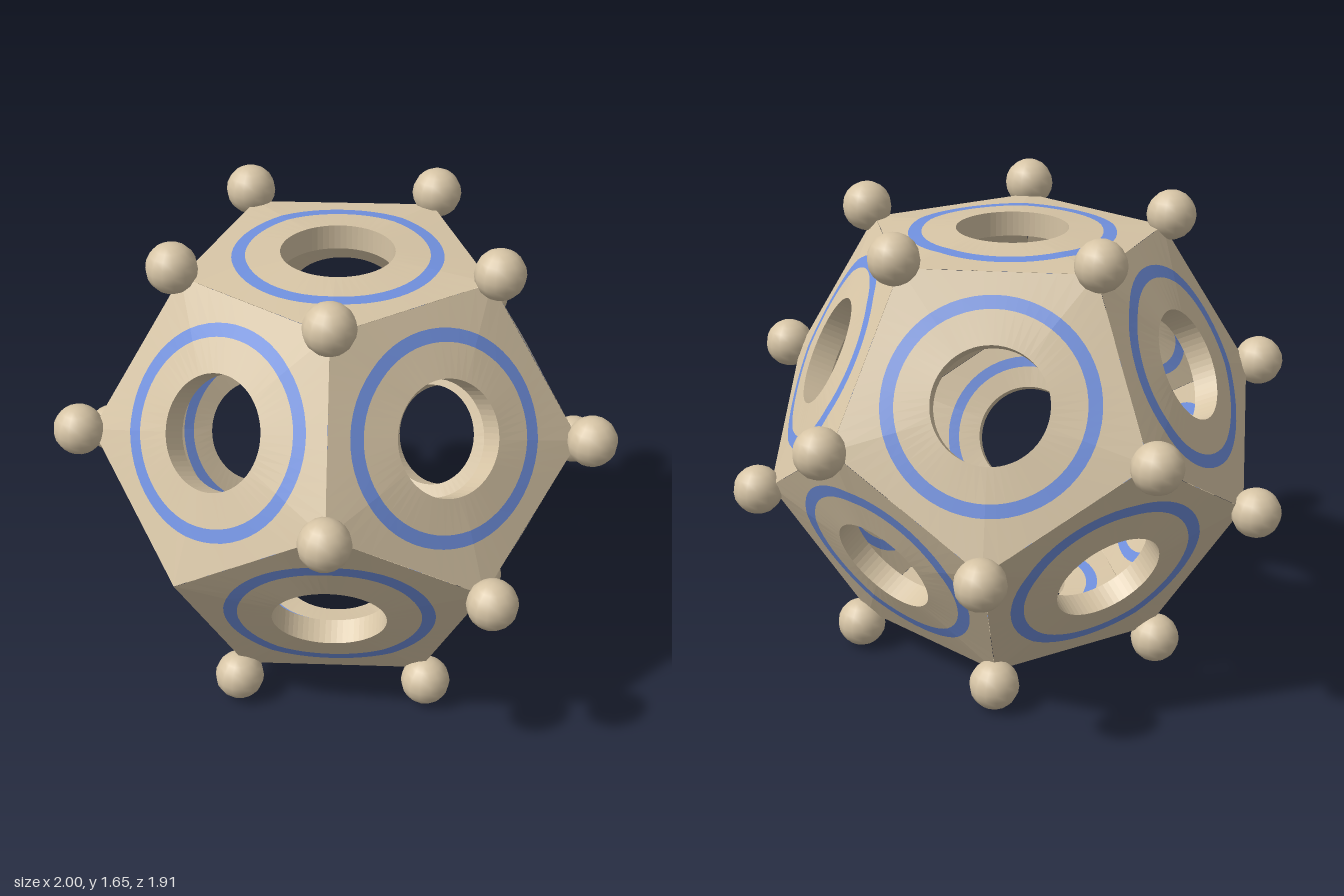
import * as THREE from 'three';

const CENTER_Y = 0.832;
const EDGE_DIST = 0.703;   // centre to pentagon plane
const RIM_DIST = 0.728;    // centre to raised hole rim
const APOTHEM = 0.434;     // pentagon inradius
const HOLE = 0.194;
const RING_IN = 0.312, RING_OUT = 0.358;
const INNER = 0.88;        // scale of the inside shell
const SEG = 60;
const TURN = THREE.MathUtils.degToRad(37.9);

// Unit direction from azimuth and height
function dir(azimuth, y) {
  const h = Math.sqrt(1 - y * y);
  return new THREE.Vector3(h * Math.cos(azimuth), y, h * Math.sin(azimuth));
}

// Distance from the face centre to the pentagon edge (one corner at angle 0)
function edgeRadius(a) {
  const step = Math.PI * 2 / 5;
  const local = ((a % step) + step) % step - step / 2;
  return APOTHEM / Math.cos(local);
}

// Loop of points around a face, on the slightly domed surface
function loop(radius, scale = 1) {
  const points = [];
  for (let i = 0; i <= SEG; i++) {
    const a = (i % SEG) / SEG * Math.PI * 2;
    const edge = edgeRadius(a) * scale;
    const r = radius === 'edge' ? edge : radius;
    const t = (r - HOLE) / (edge - HOLE);
    const z = THREE.MathUtils.lerp(RIM_DIST, EDGE_DIST, t) * scale;
    points.push(new THREE.Vector3(r * Math.cos(a), r * Math.sin(a), z));
  }
  return points;
}

// Strip of triangles joining two loops
function band(a, b) {
  const pos = [];
  for (let i = 0; i < SEG; i++) {
    for (const p of [a[i], b[i], b[i + 1], a[i], b[i + 1], a[i + 1]]) pos.push(p.x, p.y, p.z);
  }
  const g = new THREE.BufferGeometry();
  g.setAttribute('position', new THREE.Float32BufferAttribute(pos, 3));
  g.computeVertexNormals();
  return g;
}

export function createModel() {
  const model = new THREE.Group();
  model.name = 'knobbedDodecahedron';
  const stone = new THREE.MeshStandardMaterial({ color: 0xd6c4a5 });
  stone.name = 'beige stone';
  const blue = new THREE.MeshStandardMaterial({ color: 0x7090de });
  blue.name = 'blue paint';

  // Loops for the outside and inside of one face
  const out = [HOLE, RING_IN, RING_OUT, 'edge'].map(r => loop(r));
  const ins = [HOLE, RING_IN * INNER, RING_OUT * INNER, 'edge'].map(r => loop(r, INNER));
  const parts = [
    ['holeWall', band(ins[0], out[0]), stone],
    ['outerCollar', band(out[0], out[1]), stone],
    ['outerRing', band(out[1], out[2]), blue],
    ['outerBorder', band(out[2], out[3]), stone],
    ['innerCollar', band(ins[1], ins[0]), stone],
    ['innerRing', band(ins[2], ins[1]), blue],
    ['innerBorder', band(ins[3], ins[2]), stone],
  ];

  // Place one face given its normal and one of its corners
  function addFace(normal, corner, name) {
    const u = corner.clone().addScaledVector(normal, -corner.dot(normal)).normalize();
    const w = normal.clone().cross(u);
    const face = new THREE.Group();
    face.name = name;
    face.quaternion.setFromRotationMatrix(new THREE.Matrix4().makeBasis(u, w, normal));
    face.position.y = CENTER_Y;
    for (const [partName, geometry, material] of parts) {
      const mesh = new THREE.Mesh(geometry, material);
      mesh.name = partName;
      face.add(mesh);
    }
    model.add(face);
  }

  const knobGeometry = new THREE.SphereGeometry(0.087, 14, 10);
  function addKnob(d) {
    const knob = new THREE.Mesh(knobGeometry, stone);
    knob.name = 'knob';
    knob.position.copy(d).multiplyScalar(0.931);
    knob.position.y += CENTER_Y;
    model.add(knob);
  }

  // Top and bottom faces
  const top = new THREE.Vector3(0, 1, 0);
  const topCorner = dir(TURN, 0.7947);
  addFace(top, topCorner, 'topFace');
  addFace(top.clone().negate(), topCorner.clone().negate(), 'bottomFace');

  // Side faces and corner knobs, five around
  for (let k = 0; k < 5; k++) {
    const az = TURN + k * Math.PI * 2 / 5;
    const between = az + Math.PI / 5;
    addFace(dir(between, 0.4472), dir(between, -0.1876), 'upperFace');
    addFace(dir(az, -0.4472), dir(az, 0.1876), 'lowerFace');
    addKnob(dir(az, 0.7947));
    addKnob(dir(az, 0.1876));
    addKnob(dir(between, -0.7947));
    // the front corner has lost its knob
    if (k !== 0) addKnob(dir(between, -0.1876));
  }
  return model;
}
